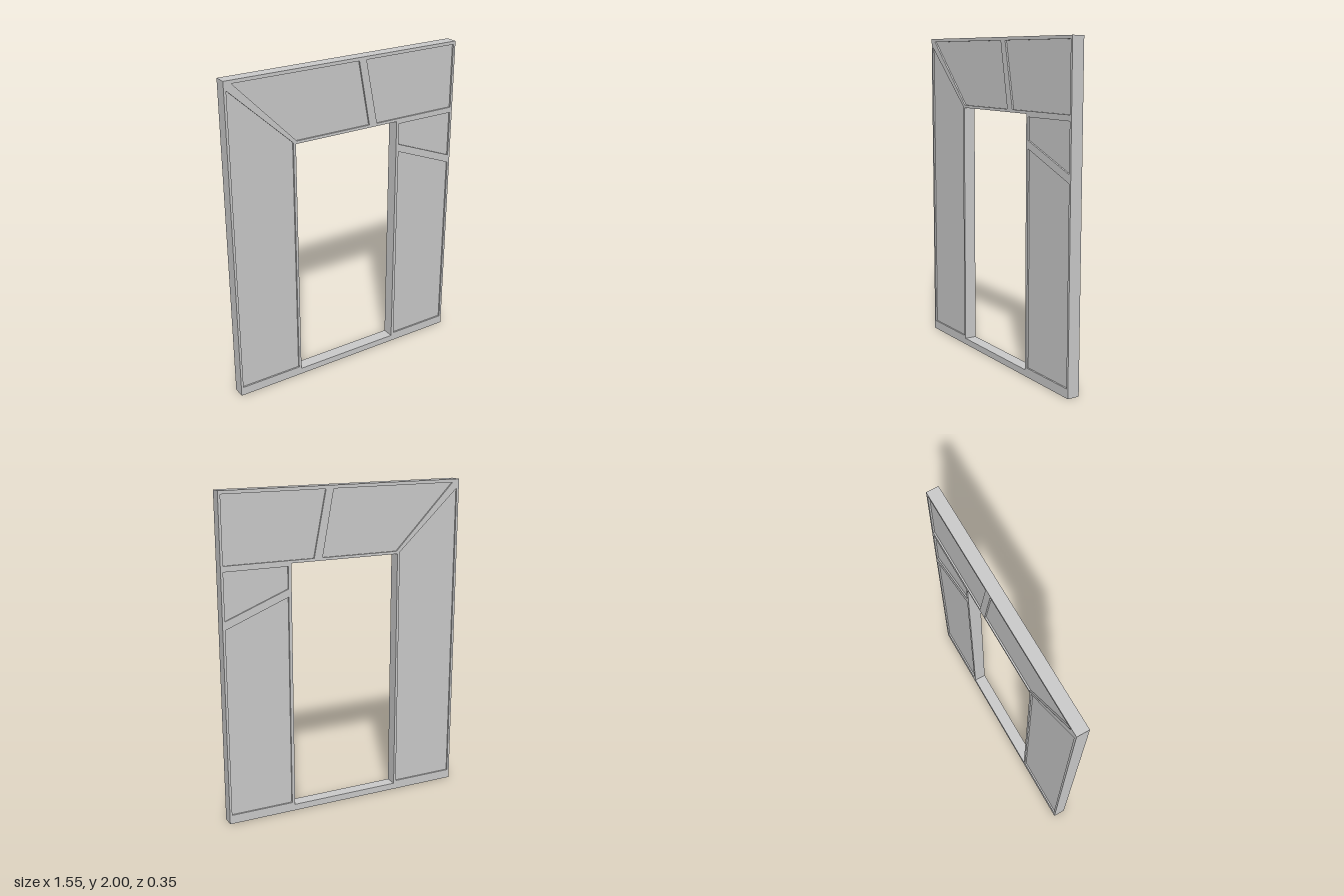
import * as THREE from 'three';

const HALF = 0.78;      // half width along the wall
const HEIGHT = 2;
const T = 0.038;        // half thickness
const DEPTH = 0.01;     // how far the panels sink in

// Doorway and panel outlines, clockwise as seen from the front
const doorway = [[-0.352, 1.565], [0.352, 1.565], [0.352, 0.04], [-0.352, 0.04]];
const panels = {
  rightLegPanel: [[-0.765, 1.945], [-0.368, 1.575], [-0.368, 0.056], [-0.765, 0.056]],
  headerRightPanel: [[-0.733, 1.98], [0.078, 1.98], [0.152, 1.582], [-0.345, 1.582]],
  headerLeftPanel: [[0.127, 1.98], [0.765, 1.98], [0.765, 1.582], [0.206, 1.582]],
  leftLegUpperPanel: [[0.371, 1.548], [0.765, 1.548], [0.765, 1.262], [0.371, 1.415]],
  leftLegLowerPanel: [[0.371, 1.367], [0.765, 1.212], [0.765, 0.056], [0.371, 0.056]],
};

const material = new THREE.MeshStandardMaterial({ color: 0xcccccc, side: THREE.DoubleSide });

function mesh(name, geometry, parent) {
  const m = new THREE.Mesh(geometry, material);
  m.name = name;
  parent.add(m);
  return m;
}

const vectors = (pts) => pts.map(([x, y]) => new THREE.Vector2(x, y));

// Strip of flat walls following an outline between two depths
function ribbon(pts, z0, z1, closed = true) {
  const pos = [];
  const count = closed ? pts.length : pts.length - 1;
  for (let i = 0; i < count; i++) {
    const [ax, ay] = pts[i];
    const [bx, by] = pts[(i + 1) % pts.length];
    pos.push(ax, ay, z0, bx, by, z0, bx, by, z1);
    pos.push(ax, ay, z0, bx, by, z1, ax, ay, z1);
  }
  const g = new THREE.BufferGeometry();
  g.setAttribute('position', new THREE.Float32BufferAttribute(pos, 3));
  g.computeVertexNormals();
  return g;
}

// One side of the wall: a face with the doorway cut out and sunken panels
function buildSkin(name, mirrored) {
  const skin = new THREE.Group();
  skin.name = name;
  const place = (pts) => (mirrored ? pts.map(([x, y]) => [-x, y]).reverse() : pts);

  const face = new THREE.Shape(vectors([[-HALF, 0], [HALF, 0], [HALF, HEIGHT], [-HALF, HEIGHT]]));
  face.holes.push(new THREE.Path(vectors(place(doorway))));
  for (const [panelName, outline] of Object.entries(panels)) {
    const pts = place(outline);
    face.holes.push(new THREE.Path(vectors(pts)));
    const panel = new THREE.ShapeGeometry(new THREE.Shape(vectors(pts)));
    mesh(panelName, panel.translate(0, 0, T - DEPTH), skin);
    mesh(panelName + 'Rim', ribbon(pts, T - DEPTH, T), skin);
  }
  mesh('frameFace', new THREE.ShapeGeometry(face).translate(0, 0, T), skin);
  if (mirrored) skin.rotation.y = Math.PI;
  return skin;
}

export function createModel() {
  const model = new THREE.Group();
  model.name = 'doorwayWall';

  model.add(buildSkin('frontSide', false), buildSkin('backSide', true));

  // Ends and top; the hollow wall is open underneath
  const outer = [[HALF, 0], [HALF, HEIGHT], [-HALF, HEIGHT], [-HALF, 0]];
  mesh('outerEdges', ribbon(outer, -T, T, false), model);

  // Jambs, lintel and sill of the doorway
  mesh('doorwayLining', ribbon(doorway, -T, T), model);

  // The wall stands at a slight angle
  model.rotation.y = THREE.MathUtils.degToRad(10);
  const root = new THREE.Group();
  root.name = 'wall';
  root.add(model);
  return root;
}
